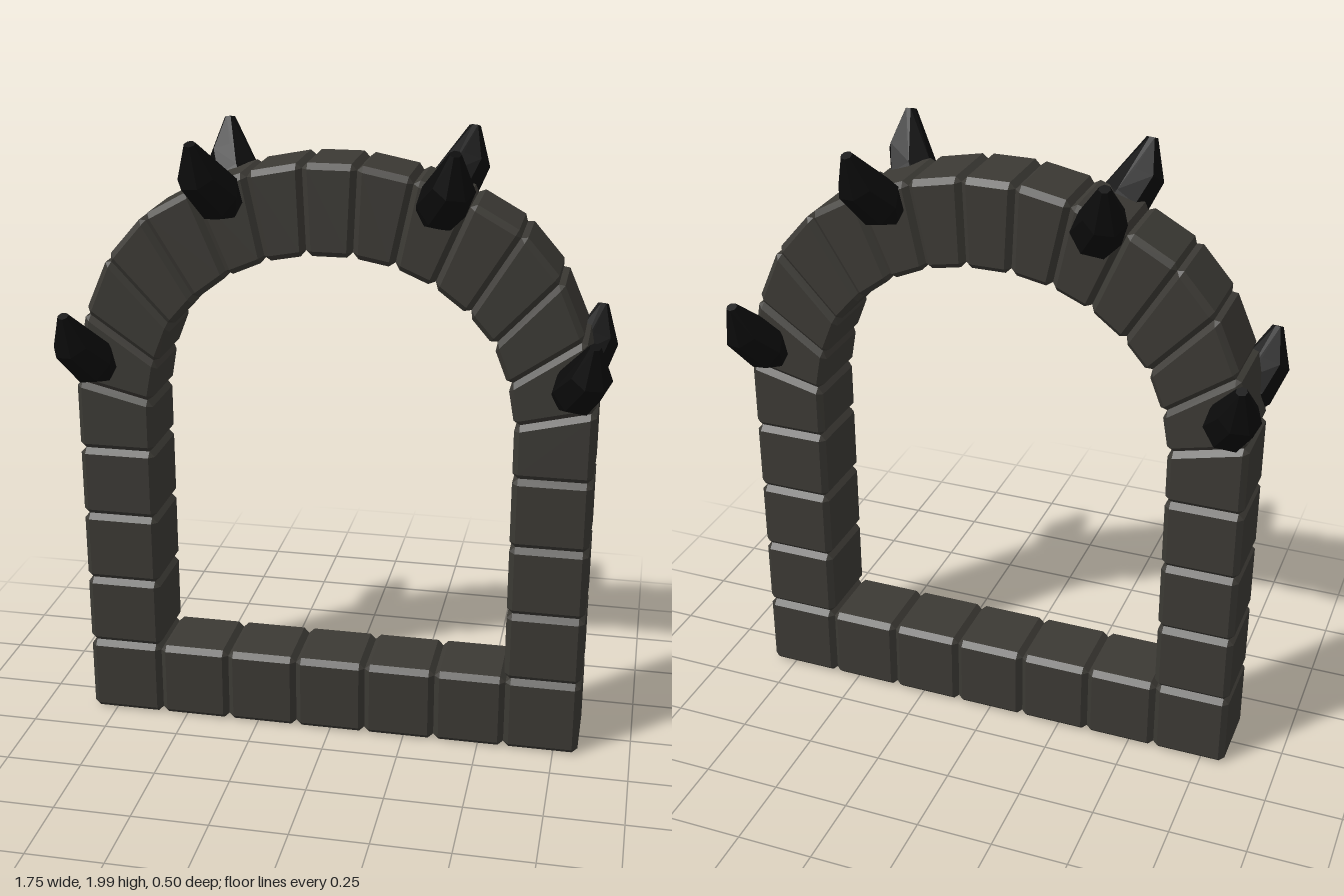
import * as THREE from 'three';
import { ConvexGeometry } from 'three/addons/geometries/ConvexGeometry.js';

const HALF_DEPTH = 0.127;
const BEVEL = 0.018;

const stoneMaterial = new THREE.MeshStandardMaterial({ color: 0x3b3934, flatShading: true });
const hornMaterial = new THREE.MeshStandardMaterial({ color: 0x0b0b0b, flatShading: true });

// Chamfered stone from four front corners [x, y], given in order around the quad
function stone(name, corners) {
  const q = corners.map(([x, y]) => new THREE.Vector2(x, y));
  const points = [];
  q.forEach((p, i) => {
    const a = q[(i + 1) % 4].clone().sub(p).setLength(BEVEL);
    const b = q[(i + 3) % 4].clone().sub(p).setLength(BEVEL);
    for (const s of [1, -1]) {
      const put = (v, inset) => points.push(new THREE.Vector3(v.x, v.y, s * (HALF_DEPTH - inset)));
      put(p.clone().add(a).add(b), 0);
      put(p.clone().add(a), BEVEL);
      put(p.clone().add(b), BEVEL);
    }
  });
  const mesh = new THREE.Mesh(new ConvexGeometry(points), stoneMaterial);
  mesh.name = name;
  return mesh;
}

// Horn centre line [x, y, z, radius], from the root outwards and up
const HORN = [
  [0.735, 1.23, 0.08, 0.055],
  [0.765, 1.262, 0.13, 0.08],
  [0.81, 1.335, 0.193, 0.066],
  [0.818, 1.438, 0.236, 0.018],
];

function horn(dx, dy, sx, sz) {
  const centres = HORN.map(([x, y, z]) => new THREE.Vector3(x, y, z));
  const points = [];
  HORN.forEach(([, , , r], i) => {
    const tangent = centres[Math.min(i + 1, 3)].clone().sub(centres[Math.max(i - 1, 0)]).normalize();
    const u = new THREE.Vector3(1, 0, -1).cross(tangent).normalize();
    const v = tangent.clone().cross(u);
    for (let k = 0; k < 7; k++) {
      const t = (k / 7) * Math.PI * 2;
      const p = centres[i].clone()
        .addScaledVector(u, r * Math.cos(t))
        .addScaledVector(v, r * Math.sin(t));
      points.push(new THREE.Vector3(sx * (p.x + dx), p.y + dy, sz * p.z));
    }
  });
  const mesh = new THREE.Mesh(new ConvexGeometry(points), hornMaterial);
  mesh.name = 'horn';
  return mesh;
}

export function createModel() {
  const model = new THREE.Group();
  model.name = 'stoneArch';

  // Sill of seven stones
  const sill = new THREE.Group();
  sill.name = 'sill';
  const xs = [-0.83, -0.585, -0.351, -0.117, 0.117, 0.351, 0.585, 0.83];
  for (let i = 0; i < 7; i++) {
    sill.add(stone('sillStone', [[xs[i], 0], [xs[i + 1], 0], [xs[i + 1], 0.255], [xs[i], 0.255]]));
  }
  model.add(sill);

  // Joints of the half arch, from the crown down to the springing
  const outer = [[0.085, 1.922], [0.258, 1.888], [0.432, 1.825], [0.588, 1.738],
    [0.708, 1.6], [0.787, 1.42], [0.83, 1.19]];
  const inner = [[0.072, 1.636], [0.2, 1.612], [0.32, 1.56], [0.428, 1.478],
    [0.508, 1.385], [0.557, 1.26], [0.58, 1.13]];
  const arch = new THREE.Group();
  arch.name = 'arch';
  const flip = ([x, y]) => [-x, y];
  arch.add(stone('keystone', [inner[0], outer[0], flip(outer[0]), flip(inner[0])]));

  for (const side of [1, -1]) {
    const place = ([x, y]) => [side * x, y];
    for (let i = 0; i < 6; i++) {
      arch.add(stone('archStone', [inner[i], outer[i], outer[i + 1], inner[i + 1]].map(place)));
    }

    // Column, its top stone cut to meet the arch
    const column = new THREE.Group();
    column.name = side > 0 ? 'leftColumn' : 'rightColumn';
    const ys = [0.255, 0.49, 0.724, 0.957];
    ys.forEach((y, i) => {
      const last = i === ys.length - 1;
      const yIn = last ? 1.13 : ys[i + 1];
      const yOut = last ? 1.19 : ys[i + 1];
      column.add(stone('columnStone', [[0.58, y], [0.83, y], [0.83, yOut], [0.58, yIn]].map(place)));
    });
    model.add(column);

    // Horns on the front and back of the lowest and the upper arch stones
    const horns = new THREE.Group();
    horns.name = side > 0 ? 'leftHorns' : 'rightHorns';
    for (const face of [1, -1]) {
      horns.add(horn(0, 0, side, face), horn(-0.425, 0.55, side, face));
    }
    model.add(horns);
  }
  model.add(arch);
  return model;
}
